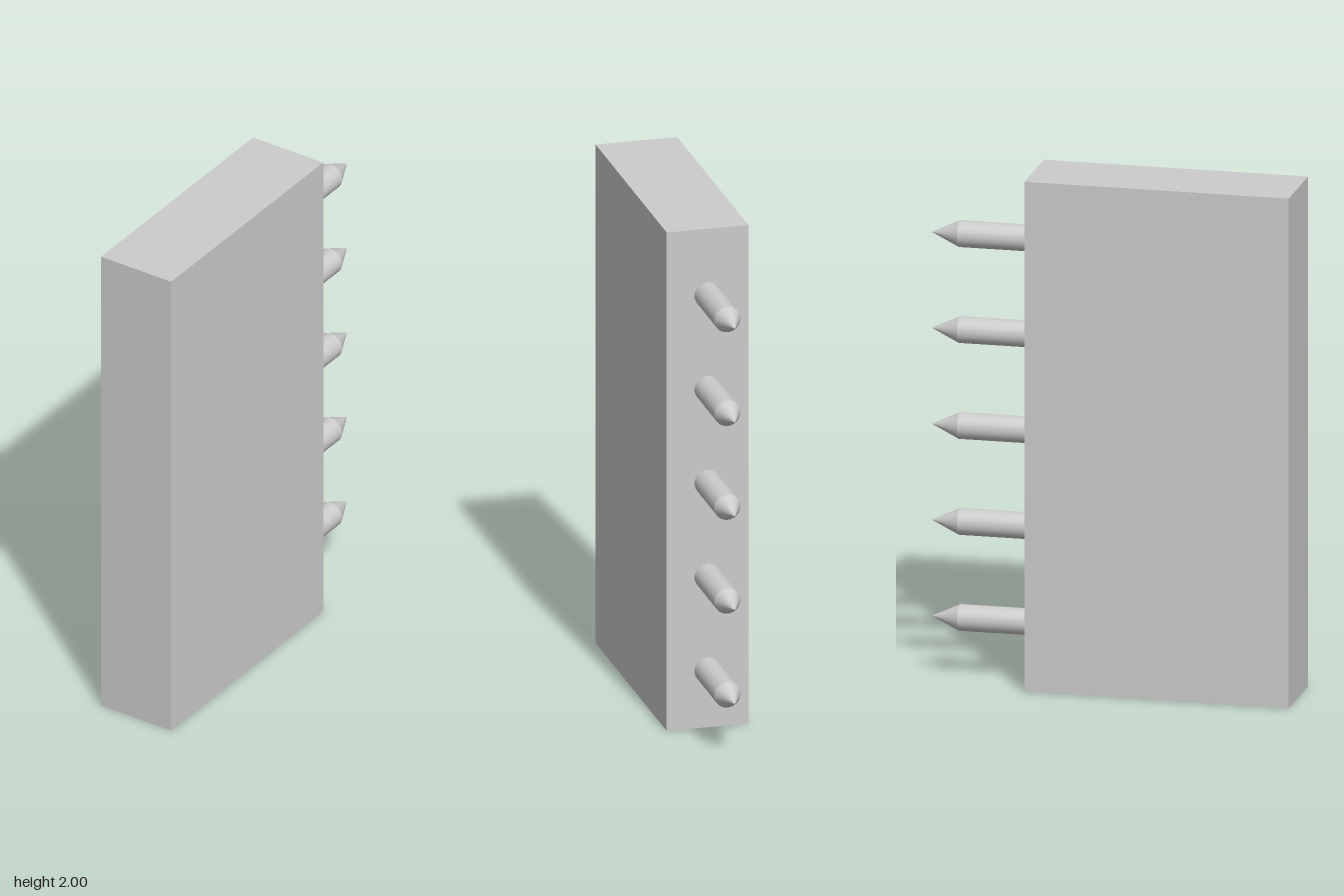
import * as THREE from 'three';

const HALF_DEPTH = 0.712; // overall front and back limits
const BACK = -0.315;      // rear face of the block
const SHOULDER = -0.603;  // where each pin starts to taper
const RADIUS = 0.051;

export function createModel() {
  const model = new THREE.Group();
  model.name = 'pinHeader';
  const material = new THREE.MeshStandardMaterial({ color: 0xcccccc });

  // Upright block
  const depth = HALF_DEPTH - BACK;
  const block = new THREE.Mesh(new THREE.BoxGeometry(0.32, 2, depth), material);
  block.name = 'block';
  block.position.set(0, 1, BACK + depth / 2);
  model.add(block);

  // Pin parts, turned to point backwards
  const shaftLength = BACK - SHOULDER;
  const tipLength = SHOULDER + HALF_DEPTH;
  const shaftGeometry = new THREE.CylinderGeometry(RADIUS, RADIUS, shaftLength, 32, 1, true)
    .rotateX(-Math.PI / 2)
    .translate(0, 0, BACK - shaftLength / 2);
  const tipGeometry = new THREE.ConeGeometry(RADIUS, tipLength, 32, 1, true)
    .rotateX(-Math.PI / 2)
    .translate(0, 0, SHOULDER - tipLength / 2);

  // Column of five pointed pins
  for (let i = 0; i < 5; i++) {
    const pin = new THREE.Group();
    pin.name = `pin${i + 1}`;
    const shaft = new THREE.Mesh(shaftGeometry, material);
    shaft.name = 'pinShaft';
    const tip = new THREE.Mesh(tipGeometry, material);
    tip.name = 'pinTip';
    pin.add(shaft, tip);
    pin.position.y = 0.229 + i * 0.3765;
    model.add(pin);
  }

  return model;
}
